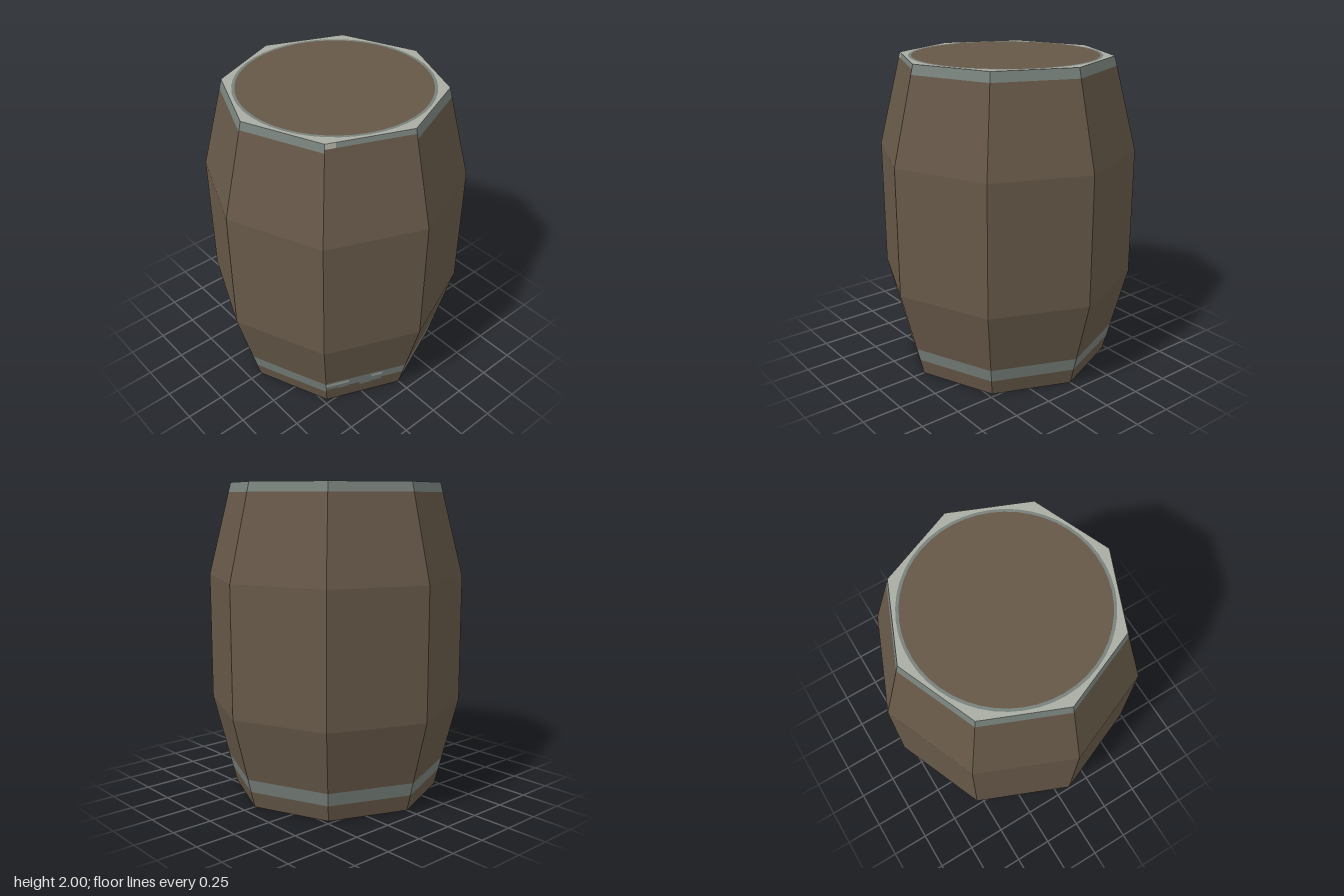
import * as THREE from 'three';
import { mergeGeometries } from 'three/addons/utils/BufferGeometryUtils.js';

const SIDES = 8;
const HEIGHT = 2;
const RIM = 0.67;
const BELLY = 0.82;
const LOW = 0.59;
const HIGH = 1.41;
const HEAD = 0.6;

const material = (name, color) => {
  const m = new THREE.MeshStandardMaterial({ color });
  m.name = name;
  return m;
};

// Barrel radius at a height
function radiusAt(y) {
  if (y < LOW) return THREE.MathUtils.lerp(RIM, BELLY, y / LOW);
  if (y > HIGH) return THREE.MathUtils.lerp(BELLY, RIM, (y - HIGH) / (HEIGHT - HIGH));
  return BELLY;
}

const corner = (i, y) => {
  const a = (i / SIDES) * Math.PI * 2;
  const r = radiusAt(y);
  return new THREE.Vector3(Math.sin(a) * r, y, Math.cos(a) * r);
};

// Flat piece of one barrel side, between fractions u0..u1 and heights y0..y1
function panel(side, u0, u1, y0, y1) {
  const at = (u, y) => corner(side, y).lerp(corner(side + 1, y), u);
  const a = at(u0, y0), b = at(u1, y0), c = at(u1, y1), d = at(u0, y1);
  const g = new THREE.BufferGeometry().setFromPoints([a, b, c, a, c, d]);
  g.computeVertexNormals();
  return g;
}

// Horizontal disc or ring facing up or down
function cap(shape, y, up) {
  const g = new THREE.ShapeGeometry(shape, 24);
  g.rotateX(up ? -Math.PI / 2 : Math.PI / 2);
  g.translate(0, y, 0);
  return g;
}

const circle = (r) => new THREE.Path().absarc(0, 0, r, 0, Math.PI * 2, true);

export function createModel() {
  const group = new THREE.Group();
  const wood = material('brown wood', 0x665848);
  const iron = material('dark grey iron', 0x78817c);
  const worn = material('light grey worn iron', 0xa9aca2);
  const add = (name, geometry, mat) => {
    const mesh = new THREE.Mesh(geometry, mat);
    mesh.name = name;
    group.add(mesh);
  };

  const staves = [], lowerHoop = [], upperHoop = [], wornPatches = [];

  // Sides: wood with a hoop near the foot and one at the rim
  for (let i = 0; i < SIDES; i++) {
    const ragged = i === SIDES - 1;
    const hoopTop = ragged ? 0.21 : i === SIDES - 2 ? 0.2 : 0.19;
    const rimStart = ragged ? 1.97 : i === SIDES - 2 ? 1.95 : 1.94;
    // Lower hoop edge, uneven on one side
    const edges = ragged ? [0.13, 0.12, 0.13, 0.1, 0.11, 0.13, 0.13] : [0.105];
    edges.forEach((y, k) => {
      const u0 = k / edges.length, u1 = (k + 1) / edges.length;
      staves.push(panel(i, u0, u1, 0, y));
      const patch = ragged && (k === 0 || k === 1 || k === 4);
      if (patch) {
        lowerHoop.push(panel(i, u0, u1, y, 0.165), panel(i, u0, u1, 0.195, hoopTop));
        wornPatches.push(panel(i, u0, u1, 0.165, 0.195));
      } else {
        lowerHoop.push(panel(i, u0, u1, y, hoopTop));
      }
    });
    staves.push(
      panel(i, 0, 1, hoopTop, LOW),
      panel(i, 0, 1, LOW, HIGH),
      panel(i, 0, 1, HIGH, rimStart));
    if (ragged) {
      wornPatches.push(panel(i, 0, 0.12, rimStart, HEIGHT));
      upperHoop.push(panel(i, 0.12, 1, rimStart, HEIGHT));
    } else {
      upperHoop.push(panel(i, 0, 1, rimStart, HEIGHT));
    }
  }
  add('staves', mergeGeometries(staves), wood);
  add('lowerHoop', mergeGeometries(lowerHoop), iron);
  add('upperHoop', mergeGeometries(upperHoop), iron);
  add('wornPatches', mergeGeometries(wornPatches), worn);

  // Ends: wooden head, thin dark ring, pale octagonal rim
  for (const [name, y, up] of [['top', HEIGHT, true], ['bottom', 0, false]]) {
    const rim = new THREE.Shape();
    for (let i = 0; i < SIDES; i++) {
      const a = (i / SIDES) * Math.PI * 2;
      if (i) rim.lineTo(Math.cos(a) * RIM, Math.sin(a) * RIM);
      else rim.moveTo(RIM, 0);
    }
    rim.holes.push(circle(HEAD));
    const ring = new THREE.Shape().absarc(0, 0, HEAD, 0, Math.PI * 2, false);
    ring.holes.push(circle(HEAD - 0.018));
    const head = new THREE.Shape().absarc(0, 0, HEAD - 0.018, 0, Math.PI * 2, false);
    add(name + 'Rim', cap(rim, y, up), worn);
    add(name + 'Ring', cap(ring, y, up), iron);
    add(name + 'Head', cap(head, y, up), wood);
  }
  return group;
}
